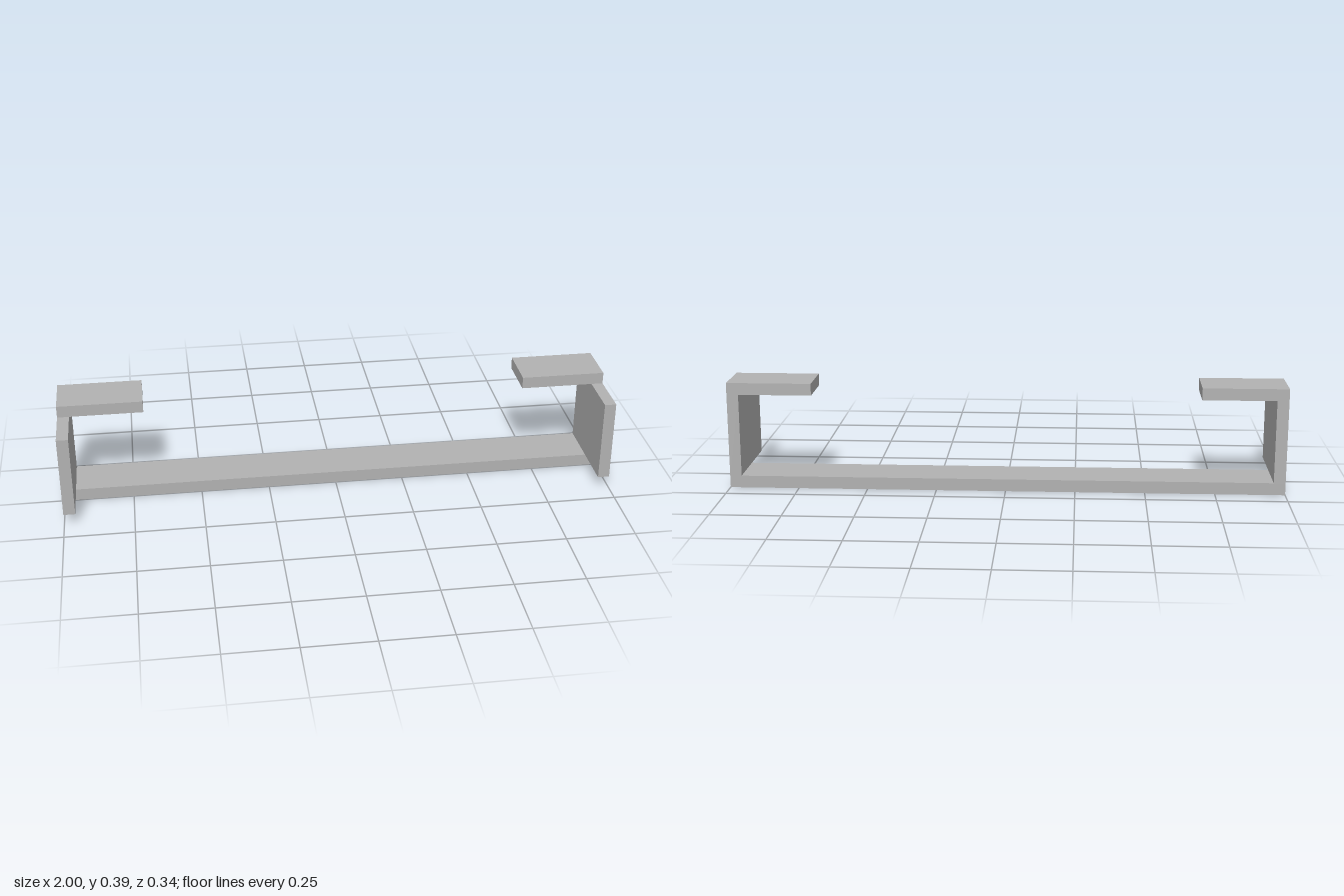
import * as THREE from 'three';

export function createModel() {
  const group = new THREE.Group();
  group.name = 'bracket';
  const grey = new THREE.MeshStandardMaterial({ color: 0xb2b2b2 });
  grey.name = 'plain grey';

  // Box given by its lower and upper corners
  const addBox = (name, [x0, y0, z0], [x1, y1, z1]) => {
    const geometry = new THREE.BoxGeometry(x1 - x0, y1 - y0, z1 - z0);
    const mesh = new THREE.Mesh(geometry, grey);
    mesh.position.set((x0 + x1) / 2, (y0 + y1) / 2, (z0 + z1) / 2);
    mesh.name = name;
    group.add(mesh);
  };

  const depth = 0.172, low = 0.044, high = 0.345, top = 0.388;
  const wall = 0.958, lip = 0.695;

  // Long bar along the bottom, in the rear half
  addBox('baseBar', [-1, 0, -depth], [1, low, 0]);

  // Full-depth side plates and the inward lips on top of them
  addBox('leftSidePlate', [wall, low, -depth], [1, high, depth]);
  addBox('rightSidePlate', [-1, low, -depth], [-wall, high, depth]);
  addBox('leftTopLip', [lip, high, -depth], [1, top, 0]);
  addBox('rightTopLip', [-1, high, -depth], [-lip, top, 0]);

  return group;
}
